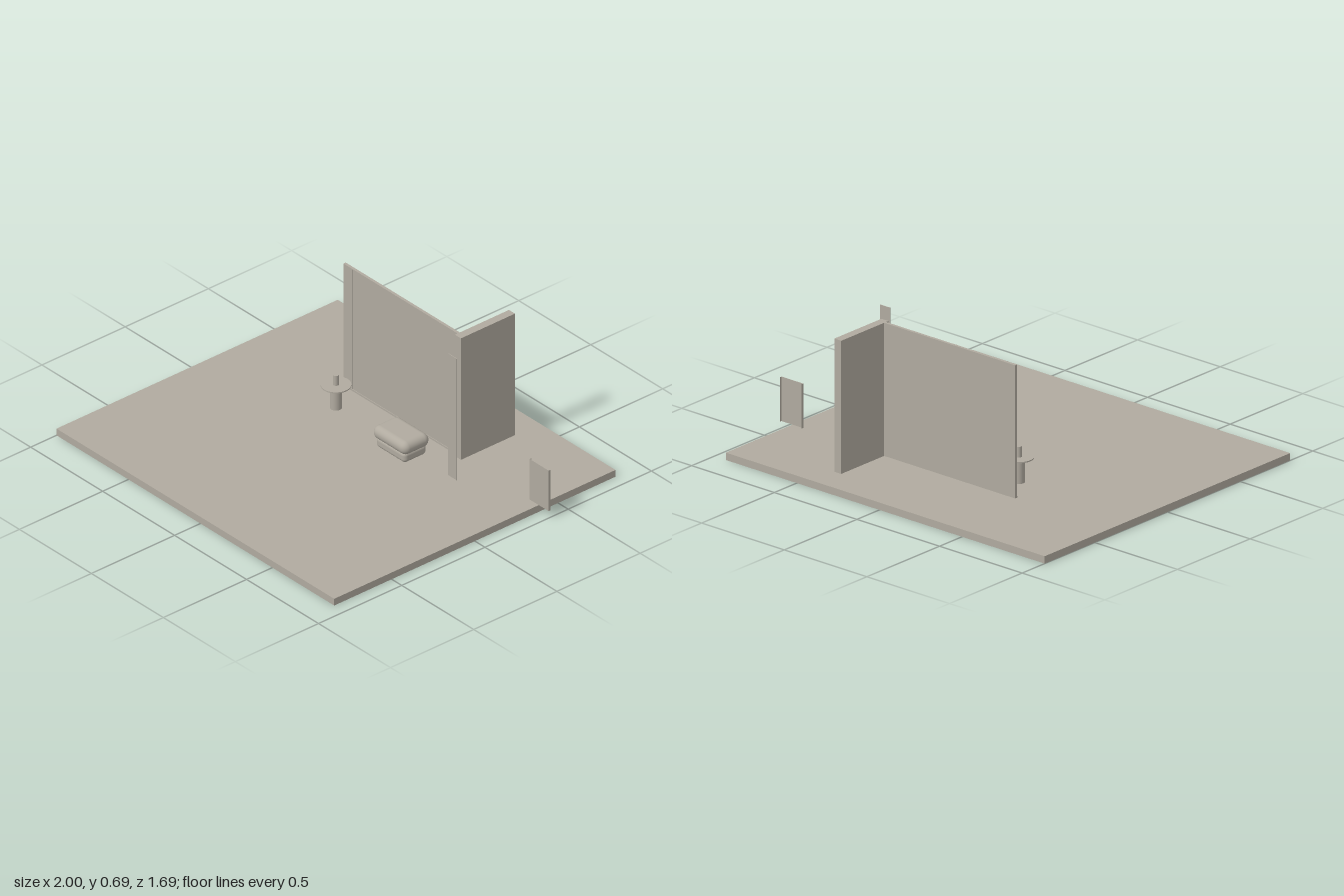
import * as THREE from 'three';
import { RoundedBoxGeometry } from 'three/addons/geometries/RoundedBoxGeometry.js';

export function createModel() {
  const model = new THREE.Group();
  model.name = 'showroomCorner';
  const taupe = new THREE.MeshStandardMaterial({ color: 0xb0aa9f, side: THREE.DoubleSide });
  taupe.name = 'taupe';
  const FLOOR = 0.036, TOP = 0.687;

  const add = (name, geometry, parent = model) => {
    const mesh = new THREE.Mesh(geometry, taupe);
    mesh.name = name;
    parent.add(mesh);
    return mesh;
  };
  const group = (name) => {
    const g = new THREE.Group();
    g.name = name;
    model.add(g);
    return g;
  };
  // Box given by its limits on each axis, optionally rounded
  const box = (name, [x0, x1], [y0, y1], [z0, z1], parent, radius = 0) => {
    const size = [x1 - x0, y1 - y0, z1 - z0];
    const geometry = radius
      ? new RoundedBoxGeometry(...size, 5, radius)
      : new THREE.BoxGeometry(...size);
    add(name, geometry, parent).position.set((x0 + x1) / 2, (y0 + y1) / 2, (z0 + z1) / 2);
  };
  // Upright cylinder on the side table's axis
  const disc = (name, r, y0, y1, parent) =>
    add(name, new THREE.CylinderGeometry(r, r, y1 - y0, 40), parent)
      .position.set(-0.307, (y0 + y1) / 2, -0.235);

  // Floor slab
  box('floor', [-1, 0.93], [0, FLOOR], [-0.845, 0.845]);

  // Back wall with skirting and narrow panel joints
  const wall = group('backWall');
  box('wallPanel', [-0.43, 0.363], [FLOOR, TOP], [-0.4, -0.386], wall);
  box('skirting', [-0.43, 0.363], [FLOOR, 0.045], [-0.386, -0.383], wall);
  for (const x of [-0.367, -0.065, 0.24])
    box('panelJoint', [x - 0.002, x + 0.002], [0.045, TOP], [-0.386, -0.384], wall);

  // Thick wall at right angles, running backwards
  box('sideWall', [0.363, 0.405], [FLOOR, TOP], [-0.695, -0.37]);

  // Tall thin upright sheet
  box('tallPanel', [0.465, 0.525], [FLOOR, TOP], [-0.244, -0.241]);

  // Low panel past the floor edge: a sheet with two folded sides
  const low = group('lowPanel');
  box('lowSheet', [0.866, 0.998], [FLOOR, 0.253], [-0.386, -0.384], low);
  for (const x of [0.866, 0.996])
    box('foldedSide', [x, x + 0.002], [FLOOR, 0.253], [-0.395, -0.386], low);

  // Padded stool
  const stool = group('stool');
  box('stoolBase', [0.064, 0.268], [FLOOR, 0.092], [-0.286, -0.15], stool, 0.02);
  box('cushion', [0.047, 0.283], [0.08, 0.148], [-0.298, -0.138], stool, 0.033);

  // Round side table with a cup
  const table = group('sideTable');
  disc('tableColumn', 0.028, FLOOR, 0.154, table);
  disc('tableTop', 0.07, 0.154, 0.16, table);
  disc('cup', 0.014, 0.16, 0.212, table);

  return model;
}
